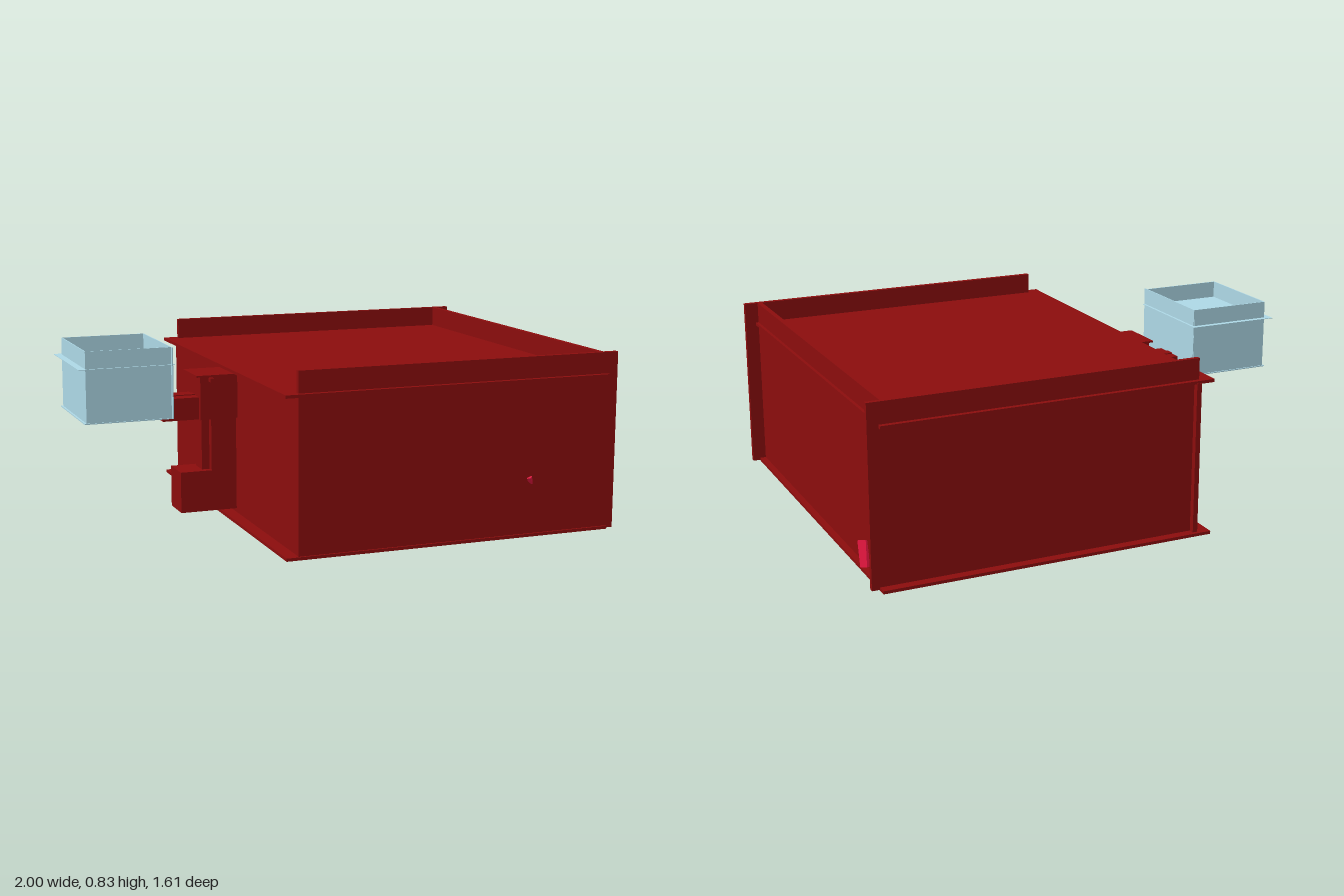
import * as THREE from 'three';

const mat = (color) => new THREE.MeshStandardMaterial({ color, flatShading: true });

export function createModel() {
  const model = new THREE.Group();
  const red = mat(0x8b0d0d);
  const crimson = mat(0xdc143c);
  const blue = mat(0xadd8e6);

  // Box given by its limits along each axis
  const slab = (name, material, [x0, x1], [y0, y1], [z0, z1]) => {
    const mesh = new THREE.Mesh(new THREE.BoxGeometry(x1 - x0, y1 - y0, z1 - z0), material);
    mesh.position.set((x0 + x1) / 2, (y0 + y1) / 2, (z0 + z1) / 2);
    mesh.name = name;
    model.add(mesh);
    return mesh;
  };

  // Main crate: overlapping planks, with a rim on three sides
  slab('bottomPlate', red, [-0.375, 0.97], [0.102, 0.114], [-0.805, 0.79]);
  slab('topPlate', red, [-0.382, 0.957], [0.712, 0.724], [-0.787, 0.802]);
  slab('frontWall', red, [-0.325, 1], [0.105, 0.808], [0.762, 0.782]);
  slab('backWall', red, [-0.325, 1], [0.105, 0.808], [-0.768, -0.75]);
  slab('leftWall', red, [0.925, 0.945], [0.105, 0.808], [-0.755, 0.765]);
  slab('rightWall', red, [-0.325, -0.305], [0.105, 0.715], [-0.79, 0.78]);

  // Bracket on the right wall
  slab('bracketFoot', red, [-0.56, -0.32], [0.13, 0.297], [-0.08, 0.06]);
  slab('bracketPost', red, [-0.43, -0.32], [0.297, 0.53], [-0.08, 0.06]);
  slab('bracketPostStrip', red, [-0.462, -0.43], [0.297, 0.53], [-0.05, 0.03]);
  slab('bracketHead', red, [-0.48, -0.32], [0.51, 0.683], [-0.1, 0.08]);
  slab('bracketCap', red, [-0.495, -0.32], [0.683, 0.69], [-0.105, 0.082]);
  slab('bracketPin', red, [-0.445, -0.428], [0.665, 0.68], [-0.13, 0.105]);
  slab('bracketArm', red, [-0.63, -0.475], [0.51, 0.6], [-0.08, 0.06]);
  slab('bracketArmRidge', red, [-0.63, -0.475], [0.6, 0.604], [-0.035, 0.005]);

  // Pale tray: thin walls with an overhanging plate
  const t = 0.002;
  slab('trayBottom', blue, [-0.98, -0.632], [0.548, 0.552], [-0.212, 0.205]);
  slab('trayTop', blue, [-1, -0.62], [0.76, 0.762], [-0.228, 0.21]);
  for (const z of [-0.205, 0.2]) slab('traySideWall', blue, [-0.972, -0.632], [0.55, 0.83], [z - t, z + t]);
  slab('trayOuterWall', blue, [-0.972, -0.968], [0.55, 0.83], [-0.205, 0.2]);
  slab('trayInnerWall', blue, [-0.634, -0.63], [0.55, 0.83], [-0.205, 0.218]);

  // Shards poking out of the crate: position, size, tilt
  const shards = [
    [[-0.195, 0.08, 0.24], [0.07, 0.1, 0.055], [0.15, 0.3, -0.3]],
    [[-0.085, 0.062, -0.525], [0.043, 0.12, 0.045], [0.2, 0.1, 0.06]],
    [[0.59, 0.1, 0.455], [0.08, 0.05, 0.12], [0.05, 0.3, 0.1]],
    [[0.65, 0.096, 0.04], [0.035, 0.06, 0.045], [0.1, 0.2, 0.2]],
    [[0.745, 0.106, 0.256], [0.045, 0.03, 0.025], [0, 0.2, 0.2]],
    [[0.135, 0.104, 0.42], [0.03, 0.03, 0.025], [0.1, 0.3, 0.6]],
    [[0.945, 0.16, -0.555], [0.05, 0.1, 0.08], [0.35, 0.15, 0.1]],
    [[0.63, 0.325, 0.778], [0.022, 0.03, 0.022], [0.2, 0.2, 0.4]],
  ];
  for (const [pos, size, tilt] of shards) {
    // Five-sided prism
    const mesh = new THREE.Mesh(new THREE.CylinderGeometry(0.55, 0.45, 1, 5), crimson);
    mesh.scale.set(...size);
    mesh.position.set(...pos);
    mesh.rotation.set(...tilt);
    mesh.name = 'shard';
    model.add(mesh);
  }
  return model;
}
